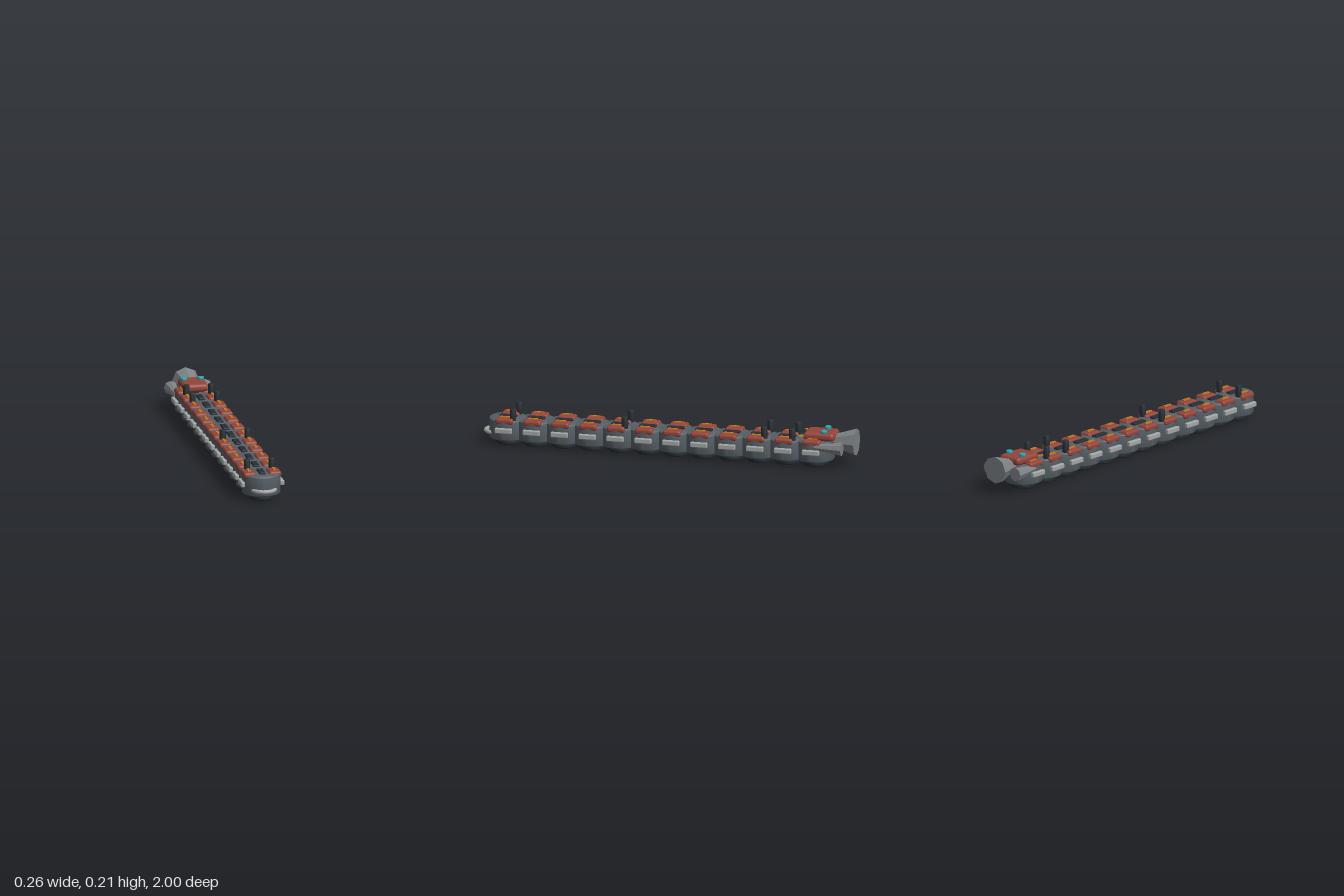
import * as THREE from 'three';
import { toCreasedNormals } from 'three/addons/utils/BufferGeometryUtils.js';
import { RoundedBoxGeometry } from 'three/addons/geometries/RoundedBoxGeometry.js';

const mat = (name, color, extra = {}) => {
  const m = new THREE.MeshStandardMaterial({ color, ...extra });
  m.name = name;
  return m;
};

// Upright drum with rounded rims
function drum(radius, y0, y1, bevel, sides) {
  const pts = [new THREE.Vector2(0, y0)];
  for (let i = 0; i <= 4; i++) {
    const a = (i / 4) * Math.PI / 2;
    pts.push(new THREE.Vector2(radius - bevel + bevel * Math.sin(a), y0 + bevel - bevel * Math.cos(a)));
  }
  for (let i = 0; i <= 4; i++) {
    const a = (i / 4) * Math.PI / 2;
    pts.push(new THREE.Vector2(radius - bevel + bevel * Math.cos(a), y1 - bevel + bevel * Math.sin(a)));
  }
  pts.push(new THREE.Vector2(0, y1));
  return toCreasedNormals(new THREE.LatheGeometry(pts, sides), 0.6);
}

// Eight-sided exhaust cone, wide end towards -z
function cone(rearRadius, frontRadius, length) {
  return new THREE.CylinderGeometry(frontRadius, rearRadius, length, 8).rotateX(Math.PI / 2);
}

export function createModel() {
  const root = new THREE.Group();
  root.name = 'segmentedTrain';

  const hull = mat('slate hull', 0x566066);
  const dark = mat('dark metal', 0x262e35);
  const red = mat('rust red', 0x94443a);
  const orange = mat('orange', 0xc8781e);
  const steel = mat('light steel', 0xa3a6a6);
  const nozzle = mat('nozzle grey', 0x7d8285);
  nozzle.flatShading = true;
  const teal = mat('teal lamp', 0x25a5b0);

  const add = (parent, name, geo, material, x = 0, y = 0, z = 0) => {
    const mesh = new THREE.Mesh(geo, material);
    mesh.name = name;
    mesh.position.set(x, y, z);
    parent.add(mesh);
    return mesh;
  };

  const hullGeo = drum(0.1, 0.03, 0.138, 0.009, 40);
  const baseGeo = drum(0.067, 0, 0.04, 0.009, 32);
  const railGeo = new RoundedBoxGeometry(0.022, 0.028, 0.092, 2, 0.006);
  const panelGeo = new RoundedBoxGeometry(0.066, 0.032, 0.096, 3, 0.013);
  const stripGeo = new THREE.BoxGeometry(0.014, 0.009, 0.05);
  const slotGeo = new RoundedBoxGeometry(0.032, 0.016, 0.09, 2, 0.004);
  const postGeo = drum(0.0165, 0.135, 0.202, 0.005, 20);
  const postSegments = [0, 4, 9, 10];

  // Twelve overlapping body segments
  for (let i = 0; i < 12; i++) {
    const seg = new THREE.Group();
    seg.name = `segment${i + 1}`;
    seg.position.z = 0.87 - 0.15 * i;
    root.add(seg);
    add(seg, 'hullDrum', hullGeo, hull);
    add(seg, 'baseDrum', baseGeo, dark);
    add(seg, 'topSlot', slotGeo, dark, 0, 0.14, 0);
    for (const s of [-1, 1]) {
      add(seg, 'sideRail', railGeo, steel, s * 0.104, 0.087, 0);
      add(seg, 'topPanel', panelGeo, red, s * 0.067, 0.134, 0);
      add(seg, 'panelStrip', stripGeo, orange, s * 0.067, 0.152, 0);
      if (postSegments.includes(i)) add(seg, 'post', postGeo, dark, s * 0.066, 0, -0.042);
    }
  }

  // Curved front bumper
  const bumperGeo = new THREE.TorusGeometry(0.059, 0.011, 12, 32, Math.PI).rotateX(Math.PI / 2);
  add(root, 'frontBumper', bumperGeo, steel, 0, 0.062, 0.93);

  // Rear housing with lamps
  add(root, 'rearHousing', new RoundedBoxGeometry(0.135, 0.044, 0.166, 4, 0.019), red, 0, 0.162, -0.811);
  const lampGeo = drum(0.018, -0.008, 0.008, 0.005, 20);
  for (const s of [-1, 1]) {
    add(root, 'lamp', lampGeo, teal, s * 0.045, 0.189, -0.836);
    const fin = add(root, 'housingFin', new THREE.BoxGeometry(0.016, 0.006, 0.03), orange, s * 0.065, 0.164, -0.72);
    fin.rotation.y = s * 0.6;
  }

  // Exhaust cones
  add(root, 'mainNozzle', cone(0.073, 0.022, 0.16), nozzle, 0, 0.133, -0.92);
  for (const s of [-1, 1]) {
    add(root, 'sideNozzle', cone(0.037, 0.013, 0.15), nozzle, s * 0.091, 0.115, -0.87);
  }
  return root;
}
